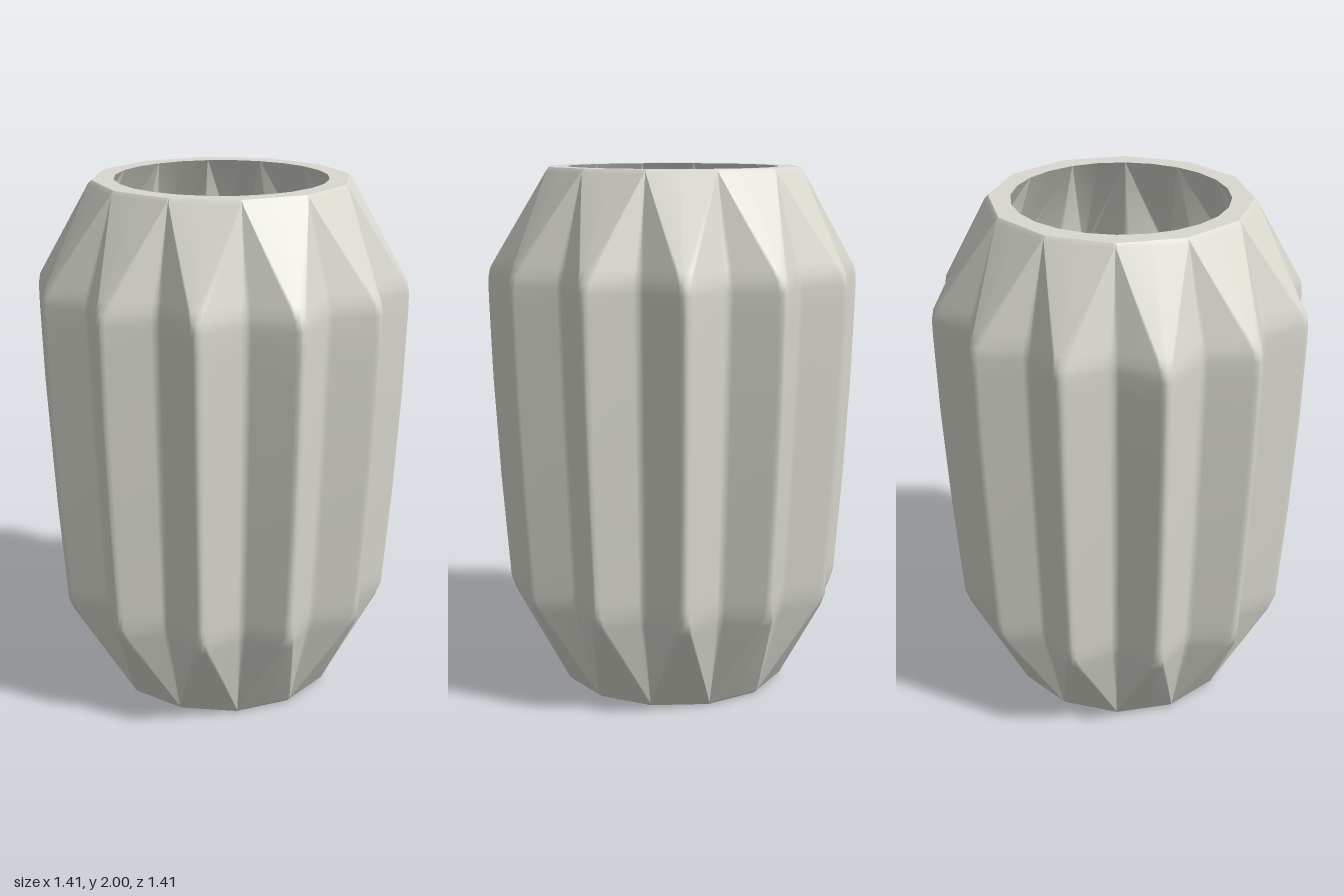
import * as THREE from 'three';

const RIDGES = 12;
const STEP = (Math.PI * 2) / RIDGES;

// One pleated ring: flat ridge crest at radius r, half width w; groove at radius v.
function pleatedRing([y, r, w, v]) {
  const points = [];
  const gx = v * Math.cos(STEP / 2), gz = v * Math.sin(STEP / 2);
  const corners = [[gx, -gz], [r, -w], [r, w], [gx, gz]];
  const fractions = [[0, 0.1, 0.5, 0.92], [0, 0.5], [0, 0.08, 0.5, 0.9]];
  for (let k = 0; k < RIDGES; k++) {
    const c = Math.cos(k * STEP), s = Math.sin(k * STEP);
    fractions.forEach((list, i) => list.forEach((u) => {
      const x = THREE.MathUtils.lerp(corners[i][0], corners[i + 1][0], u);
      const z = THREE.MathUtils.lerp(corners[i][1], corners[i + 1][1], u);
      points.push([x * c - z * s, y, x * s + z * c]);
    }));
  }
  return points;
}

// Round ring whose points line up with those of a pleated ring
function roundRing(ring, y, radius) {
  return ring.map(([x, , z]) => {
    const k = radius / Math.hypot(x, z);
    return [x * k, y, z * k];
  });
}

// Skin a list of closed rings
function loft(rings) {
  const n = rings[0].length, index = [];
  for (let i = 0; i < rings.length - 1; i++) {
    for (let j = 0; j < n; j++) {
      const a = i * n + j, b = i * n + (j + 1) % n;
      index.push(a, a + n, b, b, a + n, b + n);
    }
  }
  const geometry = new THREE.BufferGeometry();
  geometry.setAttribute('position', new THREE.Float32BufferAttribute(rings.flat(2), 3));
  geometry.setIndex(index);
  geometry.computeVertexNormals();
  return geometry;
}

export function createModel() {
  const group = new THREE.Group();
  group.name = 'pleatedVase';
  const ceramic = new THREE.MeshStandardMaterial({ color: 0xd9d9d0 });
  ceramic.name = 'pale ceramic';
  const add = (name, rings) => {
    const mesh = new THREE.Mesh(loft(rings), ceramic);
    mesh.name = name;
    group.add(mesh);
  };

  // Height, crest radius, crest half width, groove radius
  const outer = [
    [0, 0.402, 0.107, 0.417],
    [0.015, 0.417, 0.111, 0.433],
    [0.35, 0.62, 0.021, 0.527],
    [0.4, 0.641, 0.01, 0.54],
    [0.45, 0.645, 0.01, 0.544],
    [0.8, 0.672, 0.01, 0.565],
    [1.2, 0.695, 0.01, 0.585],
    [1.5, 0.705, 0.01, 0.598],
    [1.58, 0.706, 0.01, 0.6],
    [1.62, 0.698, 0.014, 0.597],
    [1.66, 0.675, 0.022, 0.586],
    [1.985, 0.479, 0.124, 0.492],
    [2, 0.466, 0.122, 0.482],
  ].map(pleatedRing);
  const inner = [
    [1.6, 0.64, 0.012, 0.545],
    [1.2, 0.632, 0.012, 0.53],
    [0.42, 0.58, 0.012, 0.49],
    [0.06, 0.366, 0.04, 0.415],
  ].map(pleatedRing);

  const rim = outer[outer.length - 1];
  const mouth = roundRing(rim, 2, 0.4);
  const floor = inner[inner.length - 1];

  add('outerWall', outer);
  add('rim', [rim, mouth]);
  add('innerWall', [mouth, ...inner]);
  add('innerFloor', [floor, roundRing(floor, 0.06, 0)]);
  add('base', [roundRing(outer[0], 0, 0), outer[0]]);
  return group;
}
